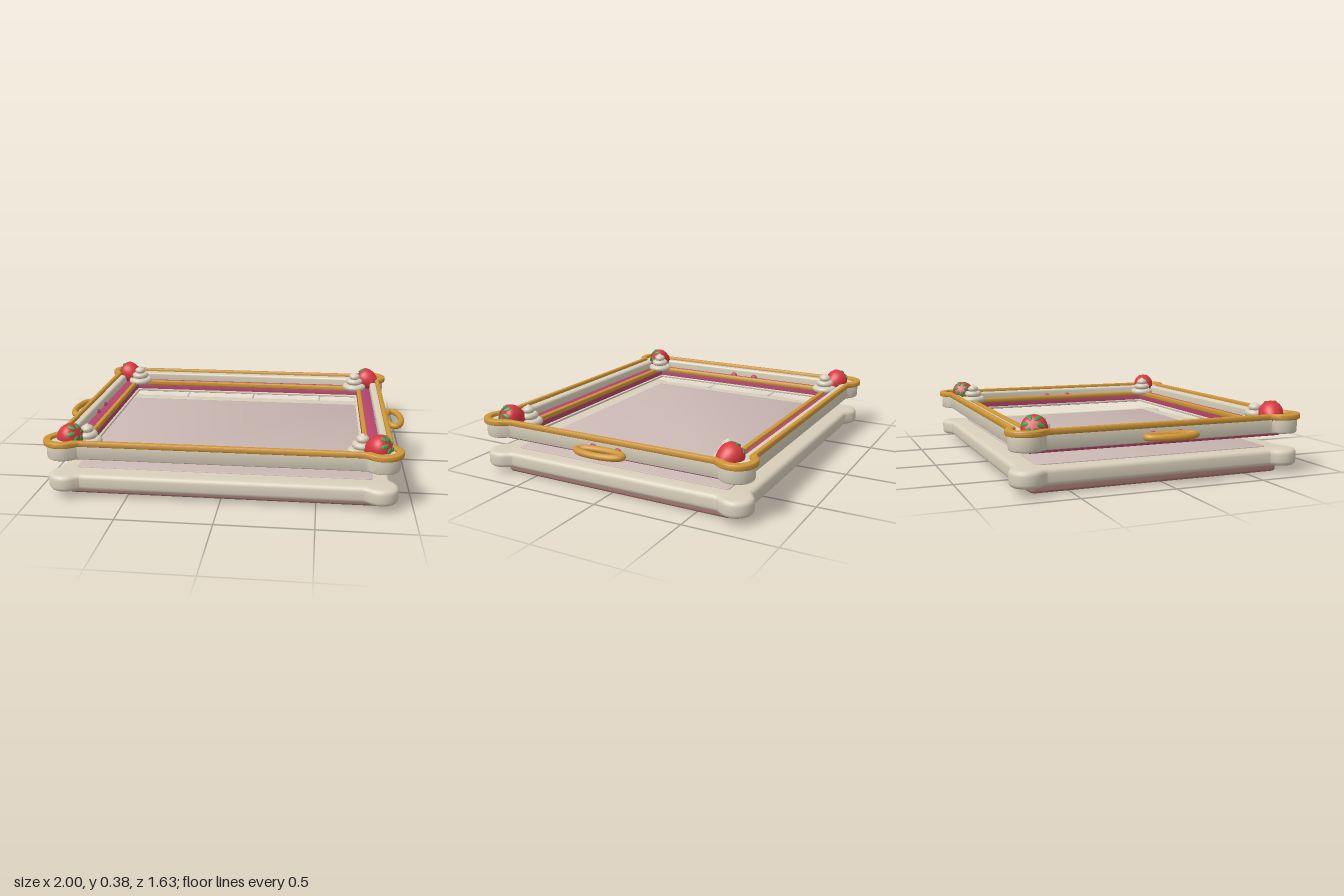
import * as THREE from 'three';
import { toCreasedNormals, mergeGeometries } from 'three/addons/utils/BufferGeometryUtils.js';

const mat = (name, color) => {
  const m = new THREE.MeshStandardMaterial({ color });
  m.name = name;
  return m;
};

// Rectangle with a round lobe on every corner, joined by small fillets
function lobed(Type, hx, hz, R, cx = 0.83, cz = 0.71) {
  const s = new Type();
  const ax = Math.acos((hx - cx) / R), az = Math.asin((hz - cz) / R);
  const f = 0.25, gap = R * 0.3, n = 14;
  // corner arc sweeps from the side wall round to the front wall
  const start = -ax + f, end = Math.PI - az - f;
  const arc = [];
  for (let i = 0; i <= n; i++) {
    const a = start + (end - start) * i / n;
    arc.push([cx + R * Math.cos(a), cz + R * Math.sin(a)]);
  }
  const corner = [
    [hx, cz - R * Math.sin(ax) - gap], [hx, cz - R * Math.sin(ax) - gap * 0.35],
    ...arc,
    [cx - R * Math.cos(az) - gap * 0.35, hz], [cx - R * Math.cos(az) - gap, hz],
  ];
  const pts = [];
  for (const [sx, sz] of [[1, 1], [-1, 1], [-1, -1], [1, -1]]) {
    const c = corner.map(([x, z]) => new THREE.Vector2(x * sx, z * sz));
    if (sx * sz < 0) c.reverse();
    pts.push(...c);
  }
  s.setFromPoints(pts);
  s.closePath();
  return s;
}

// Rectangle with rounded corners
function rect(Type, hx, hz, r) {
  const s = new Type();
  s.absarc(hx - r, hz - r, r, 0, Math.PI / 2);
  s.absarc(-hx + r, hz - r, r, Math.PI / 2, Math.PI);
  s.absarc(-hx + r, -hz + r, r, Math.PI, Math.PI * 1.5);
  s.absarc(hx - r, -hz + r, r, Math.PI * 1.5, Math.PI * 2);
  s.closePath();
  return s;
}

// Horizontal slab between two heights, with rounded edges
function slab(shape, hole, y0, y1, bevel) {
  if (hole) shape.holes.push(hole);
  const g = new THREE.ExtrudeGeometry(shape, {
    depth: y1 - y0 - 2 * bevel, bevelEnabled: true, bevelSize: bevel, bevelThickness: bevel,
    bevelOffset: -bevel, bevelSegments: 4, curveSegments: 6,
  });
  g.rotateX(-Math.PI / 2).translate(0, y0 + bevel, 0);
  return toCreasedNormals(g, 0.6);
}

export function createModel() {
  const cream = mat('cream', 0xd8cfbb);
  const gold = mat('gold', 0xcf9535);
  const magenta = mat('berry pink', 0xb5446c);
  const rose = mat('dusty rose', 0xa97973);
  const pale = mat('pale rose', 0xcbb8b4);
  const red = mat('strawberry red', 0xd8383f);
  const green = mat('leaf green', 0x3f9c4a);

  const model = new THREE.Group();
  const add = (parent, name, geo, material) => {
    const m = new THREE.Mesh(geo, material);
    m.name = name;
    parent.add(m);
    return m;
  };

  // Lower tray
  const R = THREE.Shape, H = THREE.Path;
  add(model, 'foot', slab(rect(R, 0.84, 0.70, 0.04), null, 0, 0.06, 0.015), rose);
  add(model, 'base', slab(lobed(R, 0.88, 0.76, 0.09), null, 0.04, 0.128, 0.024), cream);
  add(model, 'basePanel', slab(rect(R, 0.79, 0.65, 0.02), null, 0.12, 0.133, 0.002), pale);

  // Upper frame
  add(model, 'frame', slab(lobed(R, 0.88, 0.76, 0.09), rect(H, 0.83, 0.70, 0.02), 0.215, 0.302, 0.012), cream);
  add(model, 'frameRim', slab(lobed(R, 0.89, 0.77, 0.105), lobed(H, 0.865, 0.745, 0.066), 0.29, 0.32, 0.006), gold);
  add(model, 'innerBand', slab(rect(R, 0.84, 0.71, 0.02), rect(H, 0.747, 0.612, 0.01), 0.197, 0.255, 0.005), magenta);
  add(model, 'innerTrim', slab(rect(R, 0.77, 0.637, 0.01), rect(H, 0.744, 0.609, 0.01), 0.24, 0.27, 0.006), gold);
  add(model, 'innerLip', slab(rect(R, 0.76, 0.625, 0.01), rect(H, 0.732, 0.597, 0.01), 0.2, 0.213, 0.003), cream);

  // Handles with their mounting studs
  const ring = [];
  for (let i = 0; i < 24; i++) {
    const a = i / 24 * Math.PI * 2;
    ring.push(new THREE.Vector3(0.044 * Math.cos(a), 0, 0.136 * Math.sin(a)));
  }
  const ringGeo = new THREE.TubeGeometry(new THREE.CatmullRomCurve3(ring, true), 64, 0.018, 12, true);
  const studGeo = new THREE.SphereGeometry(1, 20, 14).scale(0.042, 0.026, 0.028);
  for (const s of [1, -1]) {
    const handle = new THREE.Group();
    handle.name = s > 0 ? 'leftHandle' : 'rightHandle';
    add(handle, 'handleRing', ringGeo, gold).position.set(s * 0.938, 0.255, 0);
    for (const z of [-0.075, 0.075]) add(handle, 'handleStud', studGeo, magenta).position.set(s * 0.855, 0.255, z);
    model.add(handle);
  }

  // Piped swirl: stacked soft rings with a tip
  const swirlPts = [[0, 0.25]];
  for (const [r, y] of [[0.076, 0.272], [0.054, 0.308], [0.034, 0.34]]) {
    for (let i = 0; i <= 6; i++) {
      const a = -Math.PI / 2 + Math.PI * i / 6;
      swirlPts.push([r - 0.02 + 0.02 * Math.cos(a), y + 0.019 * Math.sin(a)]);
    }
  }
  swirlPts.push([0.009, 0.366], [0, 0.37]);
  const swirlGeo = new THREE.LatheGeometry(swirlPts.map(([x, y]) => new THREE.Vector2(x, y)), 28);

  // Strawberry: plump body tapering away from its leaves
  const berryPts = [[0, -0.088], [0.022, -0.08], [0.046, -0.054], [0.062, -0.02],
    [0.066, 0.012], [0.058, 0.04], [0.036, 0.058], [0, 0.062]].map(([x, y]) => new THREE.Vector2(x, y));
  const berryGeo = new THREE.LatheGeometry(new THREE.SplineCurve(berryPts).getPoints(24), 26);
  const leaves = [];
  for (let i = 0; i < 6; i++) {
    leaves.push(new THREE.SphereGeometry(1, 10, 8).scale(0.024, 0.006, 0.012)
      .rotateZ(-0.6).translate(0.04, 0.056, 0).rotateY(i * Math.PI / 3));
  }
  const leafGeo = mergeGeometries(leaves);

  // One swirl and one strawberry on each corner
  for (const sx of [1, -1]) for (const sz of [1, -1]) {
    const corner = new THREE.Group();
    corner.name = (sz > 0 ? 'front' : 'back') + (sx > 0 ? 'Left' : 'Right') + 'Topping';
    add(corner, 'swirl', swirlGeo, cream).position.set(sx * 0.728, 0, sz * 0.615);
    const berry = new THREE.Group();
    berry.name = 'strawberry';
    add(berry, 'berryBody', berryGeo, red);
    add(berry, 'berryLeaves', leafGeo, green);
    berry.position.set(sx * 0.81, 0.312, sz * 0.665);
    const dir = new THREE.Vector3(sz * 0.85, 0.5, sz * 0.42).normalize();
    berry.quaternion.setFromUnitVectors(new THREE.Vector3(0, 1, 0), dir);
    corner.add(berry);
    model.add(corner);
  }
  return model;
}
